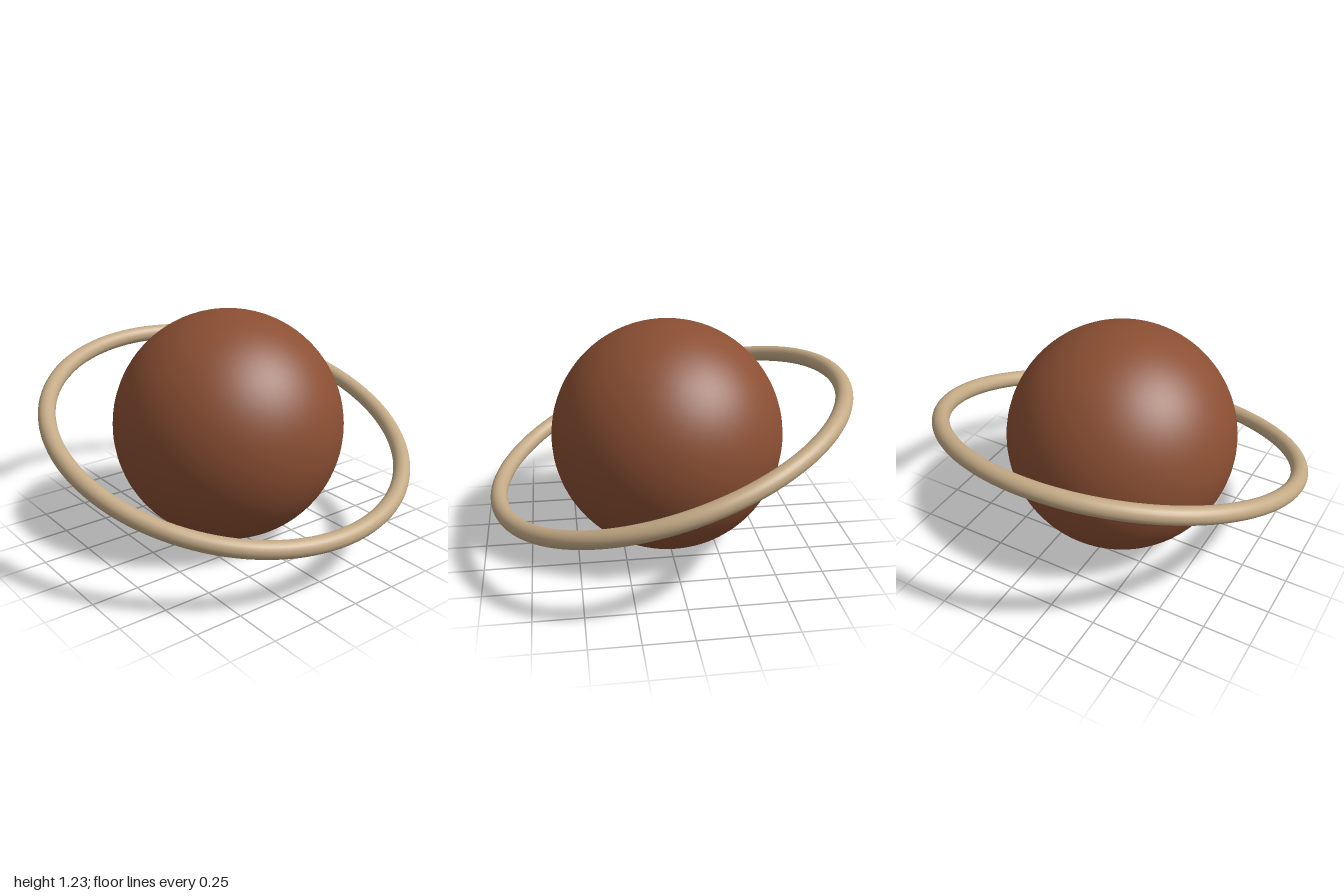
import * as THREE from 'three';

const RADIUS = 0.615;        // planet radius
const TUBE = 0.0445;         // ring thickness radius
const TILT = Math.PI / 10;   // ring dips towards the front

export function createModel() {
  const planetBrown = new THREE.MeshStandardMaterial({ color: 0x8b4f33 });
  planetBrown.name = 'planet brown';
  const ringSand = new THREE.MeshStandardMaterial({ color: 0xc4aa86 });
  ringSand.name = 'ring sand';

  const model = new THREE.Group();
  model.name = 'ringedPlanet';

  // Planet body
  const planet = new THREE.Mesh(new THREE.SphereGeometry(RADIUS, 64, 48), planetBrown);
  planet.name = 'planet';
  planet.position.y = RADIUS;

  // Tilted ring around the planet
  const ring = new THREE.Mesh(new THREE.TorusGeometry(1 - TUBE, TUBE, 24, 128), ringSand);
  ring.name = 'ring';
  ring.position.y = RADIUS;
  ring.rotation.x = Math.PI / 2 + TILT;

  model.add(planet, ring);
  return model;
}
